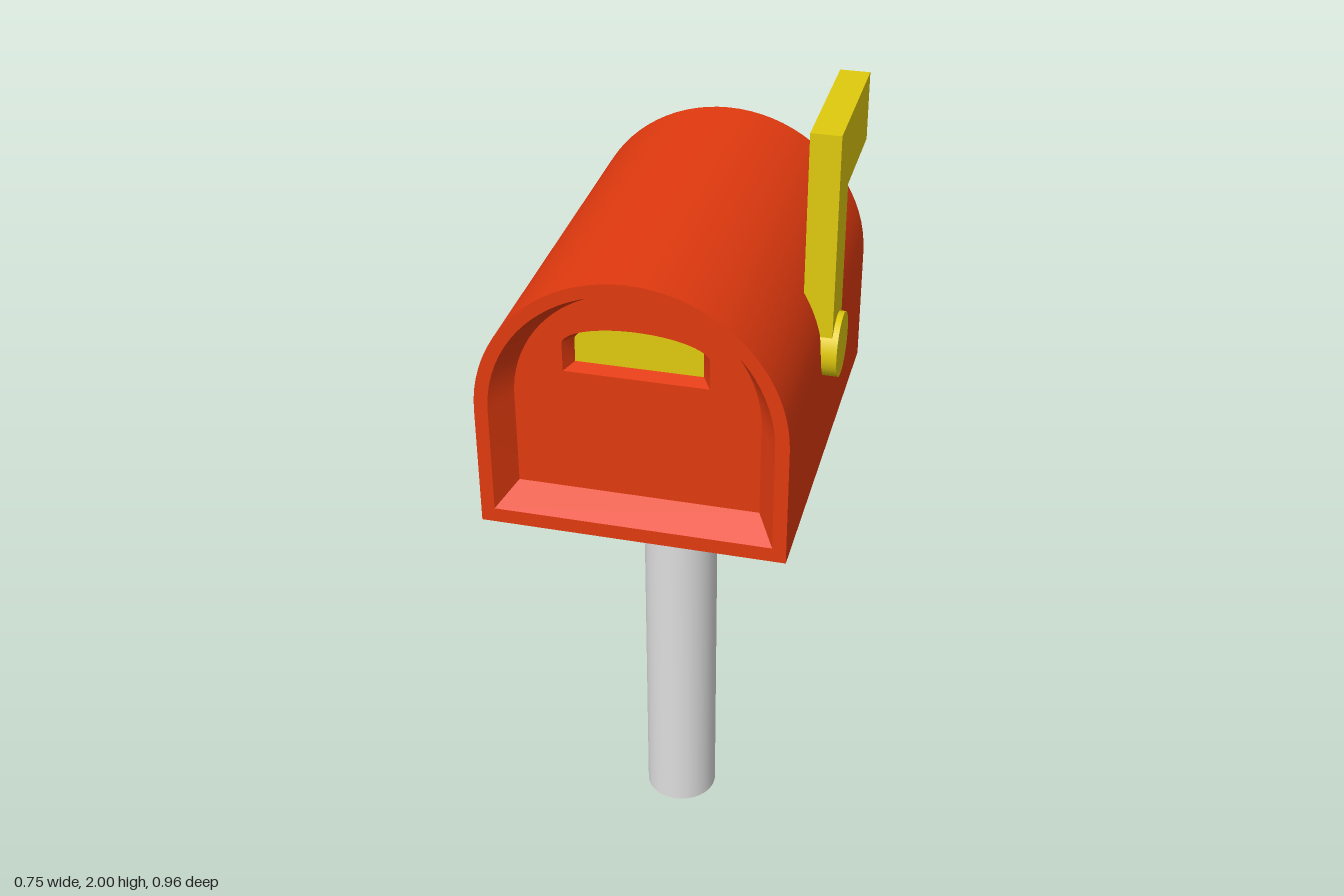
import * as THREE from 'three';
import { toCreasedNormals } from 'three/addons/utils/BufferGeometryUtils.js';

const CX = -0.018; // the box sits slightly off centre to leave room for the flag
const SEG = 40;

// Arch outline, counter-clockwise from the bottom left: flat base, straight sides, elliptical top
function arch(halfWidth, bottom, spring, rise) {
  const pts = [new THREE.Vector2(CX - halfWidth, bottom), new THREE.Vector2(CX + halfWidth, bottom)];
  for (let i = 0; i <= SEG; i++) {
    const a = (Math.PI * i) / SEG;
    pts.push(new THREE.Vector2(CX + halfWidth * Math.cos(a), spring + rise * Math.sin(a)));
  }
  return pts;
}

// Wall joining outline a at za to outline b at zb; it faces outward when za < zb
function loft(a, za, b, zb) {
  const pos = [];
  for (let i = 0; i < a.length; i++) {
    const j = (i + 1) % a.length;
    const p = [a[i].x, a[i].y, za], q = [a[j].x, a[j].y, za];
    const r = [b[j].x, b[j].y, zb], s = [b[i].x, b[i].y, zb];
    pos.push(...p, ...q, ...r, ...p, ...r, ...s);
  }
  const g = new THREE.BufferGeometry();
  g.setAttribute('position', new THREE.Float32BufferAttribute(pos, 3));
  return toCreasedNormals(g, 0.6);
}

// Flat face at depth z, with an optional hole
function face(outline, z, hole) {
  const shape = new THREE.Shape(outline);
  if (hole) shape.holes.push(new THREE.Path(hole));
  return new THREE.ShapeGeometry(shape).translate(0, 0, z);
}

export function createModel() {
  const red = new THREE.MeshStandardMaterial({ color: 0xe23a0f });
  const yellow = new THREE.MeshStandardMaterial({ color: 0xe0ca0e });
  const grey = new THREE.MeshStandardMaterial({ color: 0xdedede });
  red.name = 'red paint';
  yellow.name = 'yellow paint';
  grey.name = 'grey metal';

  const model = new THREE.Group();
  model.name = 'mailbox';
  const add = (parent, name, geometry, material) => {
    const mesh = new THREE.Mesh(geometry, material);
    mesh.name = name;
    parent.add(mesh);
    return mesh;
  };

  // Box: arched shell with a bevelled recess at the front
  const front = 0.48, panelZ = 0.42, windowZ = 0.39;
  const outer = arch(0.357, 1.135, 1.433, 0.357);
  const opening = arch(0.325, 1.171, 1.433, 0.327);
  const inner = arch(0.282, 1.22, 1.449, 0.286);
  const slot = arch(0.166, 1.526, 1.594, 0.051);
  const slotInner = arch(0.146, 1.537, 1.592, 0.046);

  const box = new THREE.Group();
  box.name = 'box';
  model.add(box);
  add(box, 'shell', loft(outer, -front, outer, front), red);
  const back = add(box, 'backPanel', face(outer, 0), red);
  back.rotation.y = Math.PI;
  back.position.set(2 * CX, 0, -front);
  add(box, 'frontRim', face(outer, front, opening), red);
  add(box, 'recessWall', loft(opening, front, inner, panelZ).scale(1, 1, 1), red);
  add(box, 'door', face(inner, panelZ, slot), red);

  // Recessed slot in the door
  add(box, 'slotWall', loft(slot, panelZ, slotInner, windowZ), red);
  add(box, 'slotPanel', face(slotInner, windowZ), yellow);

  // Signal flag on the left side: L-shaped arm and round pivot
  const flag = new THREE.Group();
  flag.name = 'flag';
  model.add(flag);
  const outline = [[-0.1, 1.45], [0.018, 1.45], [0.018, 1.836], [0.27, 1.836], [0.27, 2], [-0.1, 2]];
  const armShape = new THREE.Shape(outline.map(([x, y]) => new THREE.Vector2(x, y)));
  const arm = new THREE.ExtrudeGeometry(armShape, { depth: 0.07, bevelEnabled: false });
  arm.rotateY(Math.PI / 2).translate(0.29, 0, 0);
  add(flag, 'flagArm', arm, yellow);
  const pivot = add(flag, 'flagPivot', new THREE.CylinderGeometry(0.077, 0.077, 0.075, 40), yellow);
  pivot.rotation.z = -Math.PI / 2;
  pivot.position.set(0.3365, 1.457, 0.039);

  // Post
  const post = add(model, 'post', new THREE.CylinderGeometry(0.093, 0.093, 1.14, 40), grey);
  post.position.set(-0.016, 0.57, 0.028);

  return model;
}
